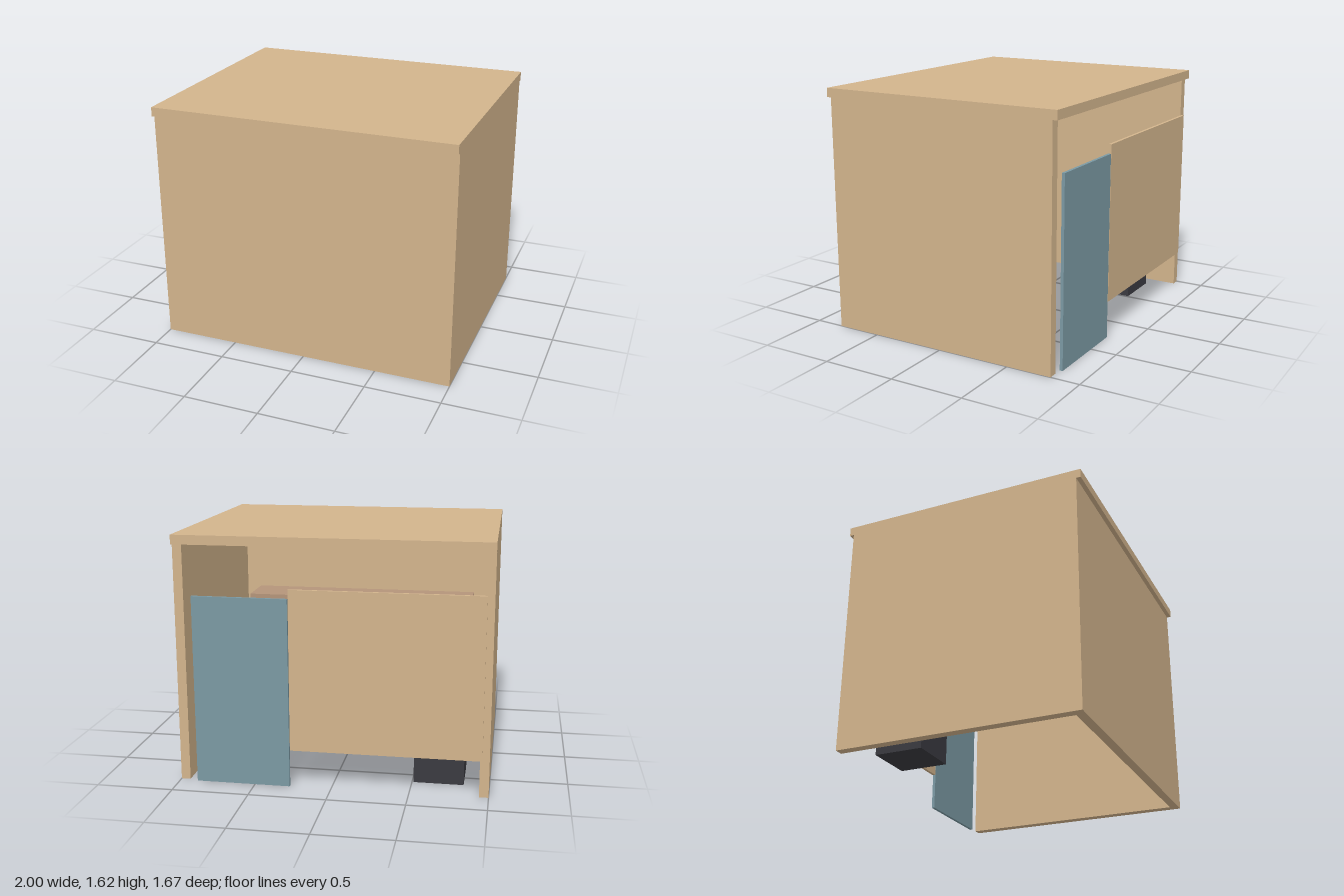
import * as THREE from 'three';

const mat = (color) => new THREE.MeshStandardMaterial({ color });

export function createModel() {
  const group = new THREE.Group();
  const tan = mat(0xd2b48c), wood = mat(0xb4947a), blue = mat(0x7b99a3);
  const dark = mat(0x3a3a40), grey = mat(0x9aa5a5);

  // Box given by its minimum and maximum on each axis
  const box = (name, material, [x0, x1], [y0, y1], [z0, z1]) => {
    const mesh = new THREE.Mesh(new THREE.BoxGeometry(x1 - x0, y1 - y0, z1 - z0), material);
    mesh.position.set((x0 + x1) / 2, (y0 + y1) / 2, (z0 + z1) / 2);
    mesh.name = name;
    group.add(mesh);
  };

  // Shell: three walls and a flat roof, open at the back and underneath
  const wallY = [0, 1.555];
  box('roof', tan, [-1, 1], [1.555, 1.615], [-0.835, 0.835]);
  box('frontWall', tan, [-0.94, 0.94], wallY, [0.745, 0.805]);
  box('leftWall', tan, [0.94, 1], wallY, [-0.805, 0.805]);
  box('rightWall', tan, [-1, -0.94], wallY, [-0.805, 0.805]);

  // Door and raised panel across the open back
  box('door', blue, [0.27, 0.885], [0, 1.23], [-0.825, -0.805]);
  box('backPanel', tan, [-0.955, 0.265], [0.245, 1.29], [-0.825, -0.805]);

  // Two long shelves by the front wall
  for (const y of [0.573, 0.973])
    box('shelf', wood, [-0.815, 0.815], [y, y + 0.04], [0.34, 0.66]);

  // Stove with a row of stones on top
  box('stove', dark, [-0.835, -0.51], [0, 0.39], [-0.623, -0.303]);
  const stones = new THREE.Group();
  stones.name = 'stones';
  const stoneGeometry = new THREE.SphereGeometry(0.036, 12, 8);
  for (let i = 0; i < 8; i++) {
    const stone = new THREE.Mesh(stoneGeometry, grey);
    stone.name = 'stone';
    stone.position.set(-0.455 - i * 0.062, 0.425, -0.463);
    stones.add(stone);
  }
  group.add(stones);

  return group;
}
